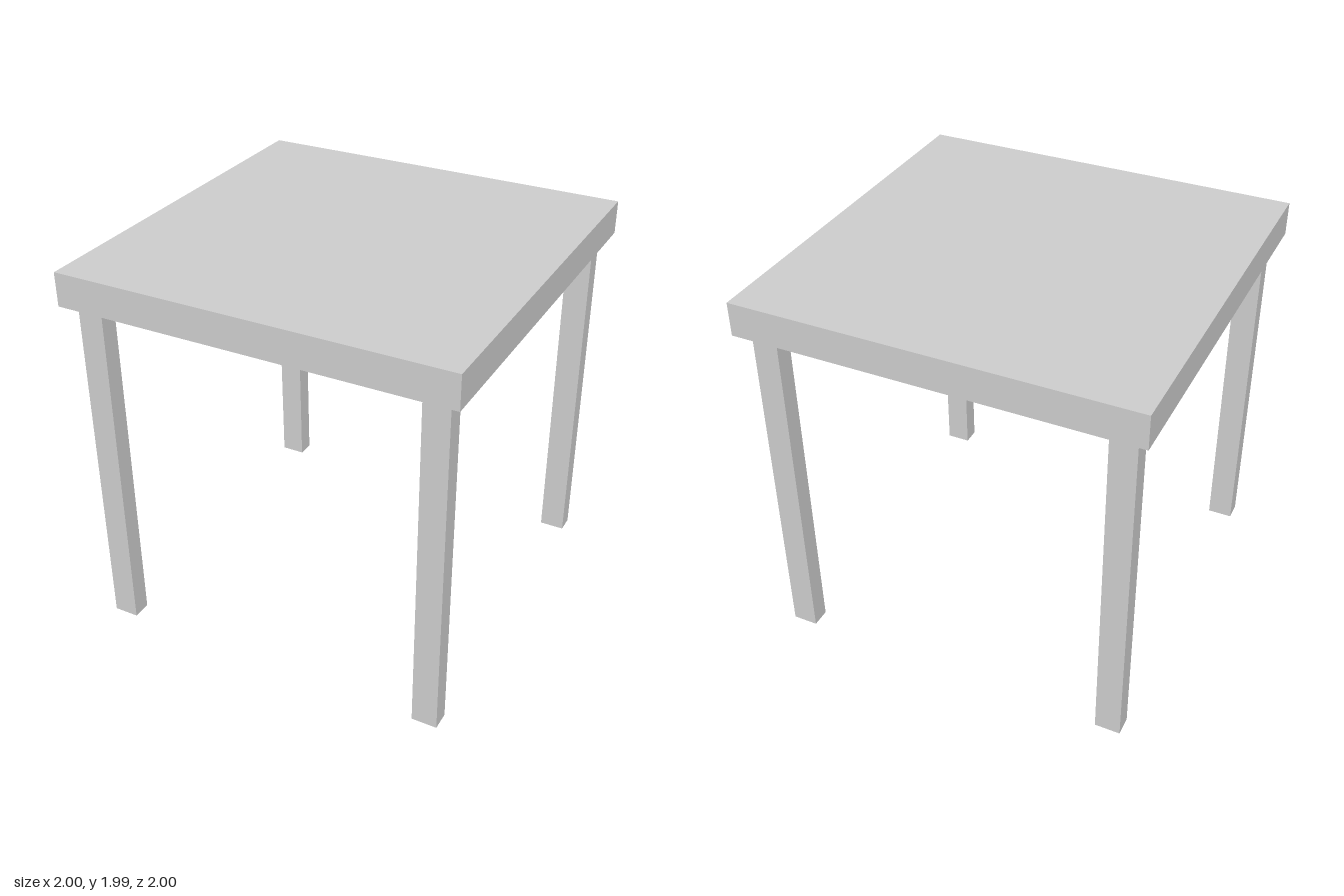
import * as THREE from 'three';

export function createModel() {
  const group = new THREE.Group();
  const material = new THREE.MeshStandardMaterial({ color: 0xcccccc });

  const height = 1.987;
  const topThickness = 0.172;
  const legHeight = height - topThickness;

  // Square slab top
  const top = new THREE.Mesh(new THREE.BoxGeometry(2, topThickness, 2), material);
  top.name = 'tableTop';
  top.position.y = height - topThickness / 2;
  group.add(top);

  // Four rectangular legs, set in slightly from the corners
  const legGeometry = new THREE.BoxGeometry(0.13, legHeight, 0.096);
  for (const [zName, z] of [['front', 1], ['back', -1]]) {
    for (const [xName, x] of [['Left', 1], ['Right', -1]]) {
      const leg = new THREE.Mesh(legGeometry, material);
      leg.name = `${zName}${xName}Leg`;
      leg.position.set(x * 0.873, legHeight / 2, z * 0.89);
      group.add(leg);
    }
  }

  return group;
}
